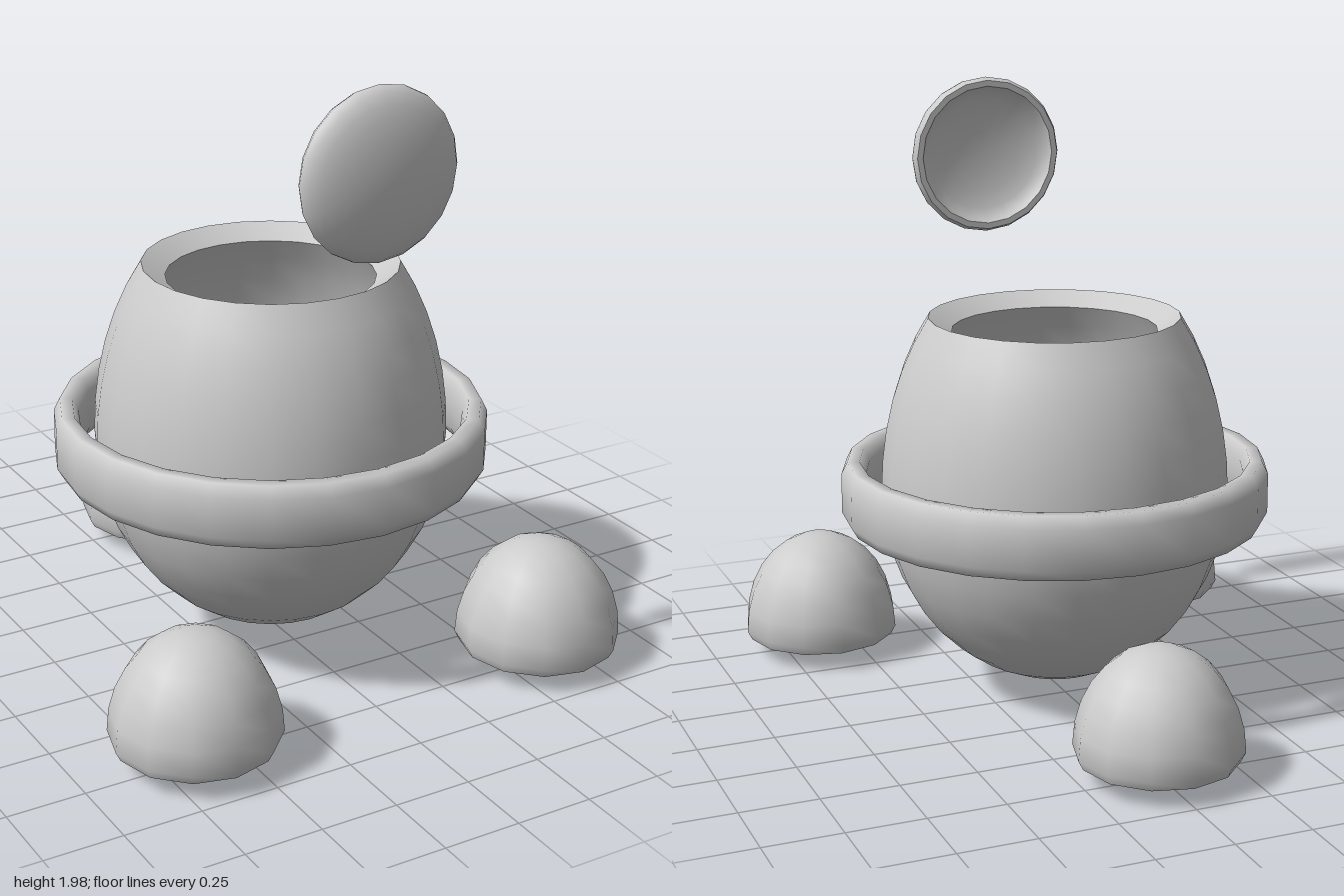
import * as THREE from 'three';
import { toCreasedNormals } from 'three/addons/utils/BufferGeometryUtils.js';

const material = new THREE.MeshStandardMaterial({ color: 0xcccccc });
const AXIS_Z = 0.09; // the pot and ring stand slightly forward

// Points on an ellipse (radius a, height b) centred at height cy, from angle t0 to t1
function arc(a, b, cy, t0, t1, steps) {
  const points = [];
  for (let i = 0; i <= steps; i++) {
    const t = t0 + ((t1 - t0) * i) / steps;
    points.push([Math.max(0, a * Math.cos(t)), cy + b * Math.sin(t)]);
  }
  return points;
}

function turned(name, profile, sides, crease = 0.75) {
  const points = profile.map(([r, y]) => new THREE.Vector2(r, y));
  const geometry = toCreasedNormals(new THREE.LatheGeometry(points, sides), crease);
  const mesh = new THREE.Mesh(geometry, material);
  mesh.name = name;
  return mesh;
}

export function createModel() {
  const model = new THREE.Group();
  model.name = 'footedPot';
  const H = Math.PI / 2;

  // Pot: a thick egg-shaped shell, cut open at the top
  const pot = turned('pot', [
    ...arc(0.57, 0.64, 0.7, -H, 0, 10),
    ...arc(0.57, 0.835, 0.7, 0, 0.768, 6).slice(1),
    ...arc(0.48, 0.745, 0.7, 0.8, 0, 6),
    ...arc(0.48, 0.55, 0.7, 0, -H, 10).slice(1),
  ], 24);
  pot.position.z = AXIS_Z;
  model.add(pot);

  // Loose band around the pot
  const band = turned('band', [
    [0.62, 0.71], [0.62, 0.64], [0.64, 0.605], [0.68, 0.605], [0.7, 0.64],
    [0.7, 0.77], [0.68, 0.81], [0.64, 0.81], [0.62, 0.77], [0.62, 0.71],
  ], 24, 1.3);
  band.position.z = AXIS_Z;
  model.add(band);

  // Floating dish, domed to the front and hollow at the back
  const dish = turned('dish', [
    ...arc(0.235, 0.065, 0, H, 0, 5),
    [0.255, 0], [0.265, 0.02],
    ...arc(0.265, 0.085, 0.022, 0.12, H, 6),
  ], 20);
  dish.rotation.x = H;
  dish.position.set(0, 1.72, 0.684);
  model.add(dish);

  // Three feet: a hollow dome over a ball
  for (const [name, x, z] of [
    ['leftFoot', 0.625, 0.73], ['rightFoot', -0.625, 0.73], ['backFoot', 0, -0.735],
  ]) {
    const foot = new THREE.Group();
    foot.name = name;
    foot.add(turned('dome', [
      ...arc(0.205, 0.26, 0.1, H, 0, 6),
      [0.2, 0.07], [0.25, 0.07],
      ...arc(0.265, 0.33, 0.1, 0, H, 7),
    ], 12));
    foot.add(turned('ball', arc(0.18, 0.12, 0.13, -H, H, 8), 12));
    foot.position.set(x, 0, z);
    model.add(foot);
  }

  // Stand the model on the ground
  const box = new THREE.Box3().setFromObject(model);
  for (const part of model.children) part.position.y -= box.min.y;
  return model;
}
